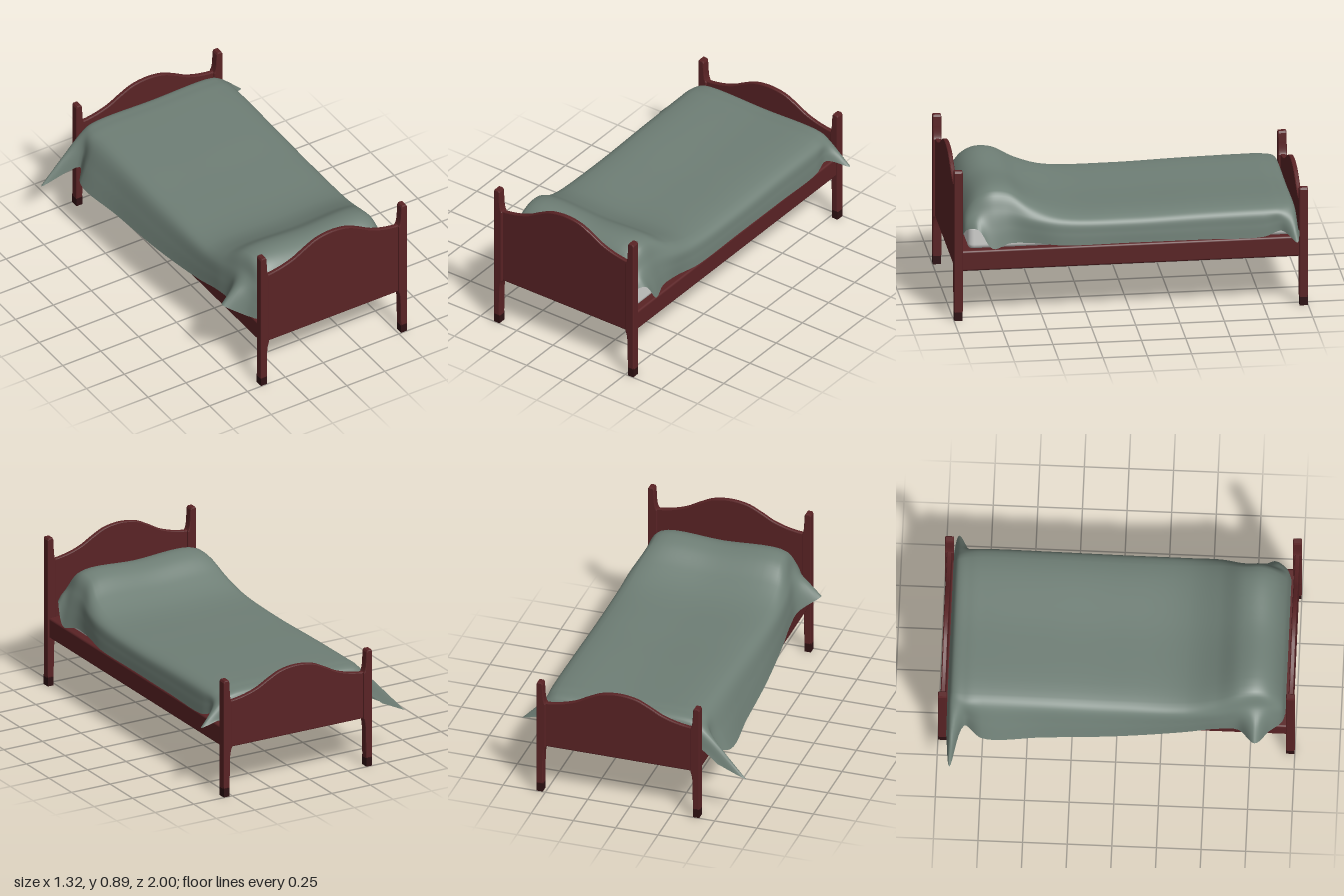
import * as THREE from 'three';
import { RoundedBoxGeometry } from 'three/addons/geometries/RoundedBoxGeometry.js';

const CX = 0.0725; // centre line of the bed frame
const HALF = 0.4825; // half the frame width

function material(name, color, side = THREE.FrontSide) {
  const m = new THREE.MeshStandardMaterial({ color, side });
  m.name = name;
  return m;
}

function add(parent, name, geometry, mat, x = 0, y = 0, z = 0) {
  const mesh = new THREE.Mesh(geometry, mat);
  mesh.name = name;
  mesh.position.set(x, y, z);
  parent.add(mesh);
  return mesh;
}

// Extrude a shape, centred on z, with softened edges
function slab(shape, thickness, bevel) {
  const depth = thickness - 2 * bevel;
  const g = new THREE.ExtrudeGeometry(shape, {
    depth, bevelEnabled: true, bevelSize: bevel, bevelThickness: bevel,
    bevelOffset: -bevel, bevelSegments: 2, curveSegments: 40,
  });
  return g.translate(0, 0, -depth / 2);
}

// Post outline: straight outside, inner side flared where it meets the panel
function postShape(side, low, top) {
  const x = (w) => side * (HALF - w);
  const s = new THREE.Shape();
  s.moveTo(x(0), 0.05);
  s.lineTo(x(0), top - 0.012);
  s.lineTo(x(0.006), top);
  s.lineTo(x(0.032), top);
  s.lineTo(x(0.038), top - 0.012);
  s.lineTo(x(0.041), low + 0.07);
  s.quadraticCurveTo(x(0.043), low + 0.01, x(0.055), low - 0.004);
  s.lineTo(x(0.055), 0.29);
  s.quadraticCurveTo(x(0.044), 0.265, x(0.043), 0.22);
  s.lineTo(x(0.04), 0.05);
  s.closePath();
  return s;
}

// Panel with a bell-shaped top edge
function panelShape(low, top) {
  const w = HALF - 0.03;
  const profile = [[1, 0], [0.94, 0], [0.86, 0.03], [0.72, 0.13], [0.56, 0.32],
    [0.4, 0.62], [0.22, 0.9], [0, 1]];
  const right = profile.map(([x, k]) => new THREE.Vector2(x * w, low + k * (top - low)));
  const left = right.slice(0, -1).reverse().map((p) => new THREE.Vector2(-p.x, p.y));
  const s = new THREE.Shape();
  s.moveTo(-w, 0.29);
  s.lineTo(w, 0.29);
  s.lineTo(w, low);
  s.splineThru([...right.slice(1), ...left]);
  s.closePath();
  return s;
}

function bedEnd(name, z, low, top, wood, darkWood) {
  const end = new THREE.Group();
  end.name = name;
  end.position.set(CX, 0, z);
  add(end, 'panel', slab(panelShape(low, top), 0.026, 0.006), wood);
  for (const side of [-1, 1]) {
    add(end, 'post', slab(postShape(side, low, top), 0.05, 0.006), wood);
    add(end, 'postFoot', new THREE.BoxGeometry(0.038, 0.06, 0.046), darkWood,
      side * (HALF - 0.02), 0.03, 0);
  }
  return end;
}

// Draped cover: cross-sections from foot to head, smoothed in both directions
function coverGeometry() {
  // z, top height, left shoulder x, left hem x/y, right shoulder x, right hem x/y
  const sections = [
    [-0.95, 0.47, -0.38, -0.5, 0.34, 0.51, 0.56, 0.45],
    [-0.925, 0.572, -0.39, -0.66, 0.26, 0.52, 0.66, 0.415],
    [-0.85, 0.588, -0.4, -0.45, 0.36, 0.53, 0.55, 0.45],
    [-0.75, 0.59, -0.4, -0.51, 0.33, 0.535, 0.555, 0.42],
    [-0.4, 0.585, -0.4, -0.49, 0.33, 0.535, 0.555, 0.42],
    [0, 0.575, -0.4, -0.47, 0.34, 0.535, 0.553, 0.42],
    [0.38, 0.585, -0.4, -0.44, 0.37, 0.53, 0.55, 0.42],
    [0.55, 0.64, -0.395, -0.425, 0.4, 0.52, 0.53, 0.435],
    [0.68, 0.712, -0.38, -0.43, 0.42, 0.49, 0.53, 0.44],
    [0.78, 0.722, -0.37, -0.53, 0.48, 0.49, 0.555, 0.42],
    [0.86, 0.685, -0.36, -0.43, 0.42, 0.48, 0.54, 0.53],
    [0.92, 0.6, -0.34, -0.38, 0.4, 0.47, 0.5, 0.52],
    [0.945, 0.5, -0.3, -0.33, 0.26, 0.45, 0.46, 0.46],
  ];
  const rows = sections.map(([z, top, ls, lx, ly, rs, rx, ry]) => {
    const edge = top - 0.035 - Math.max(0, top - 0.59) * 0.5;
    return [
      [lx, ly], [(ls + lx) / 2 - 0.006, (edge + ly) / 2], [ls, edge], [ls + 0.06, top - 0.003],
      [CX, top], [rs - 0.06, top - 0.003], [rs, edge], [(rs + rx) / 2 + 0.004, (edge + ry) / 2], [rx, ry],
    ].map(([x, y]) => new THREE.Vector3(x, y, z));
  });
  const columns = rows[0].map((_, i) => new THREE.CatmullRomCurve3(rows.map((r) => r[i])));
  const nu = 56, nv = 84;
  const g = new THREE.PlaneGeometry(1, 1, nu, nv);
  const pos = g.attributes.position;
  for (let j = 0; j <= nv; j++) {
    const across = new THREE.CatmullRomCurve3(columns.map((c) => c.getPoint(j / nv)));
    for (let i = 0; i <= nu; i++) {
      const p = across.getPoint(i / nu);
      pos.setXYZ(j * (nu + 1) + i, p.x, p.y, p.z);
    }
  }
  g.computeVertexNormals();
  return g;
}

export function createModel() {
  const wood = material('red wood', 0x5a2325);
  const darkWood = material('dark wood', 0x2e1113);
  const cloth = material('grey green cloth', 0x6f7f76, THREE.DoubleSide);
  const linen = material('white linen', 0xcfcfcd);

  const bed = new THREE.Group();
  bed.name = 'bed';

  // Frame
  bed.add(bedEnd('headboard', 0.975, 0.755, 0.89, wood, darkWood));
  bed.add(bedEnd('footboard', -0.975, 0.57, 0.7, wood, darkWood));
  add(bed, 'bedFrame', new RoundedBoxGeometry(0.945, 0.12, 1.93, 3, 0.012), wood, CX, 0.35, 0);

  // Bedding
  add(bed, 'mattress', new RoundedBoxGeometry(0.875, 0.155, 1.83, 4, 0.035), linen, CX, 0.4775, 0);
  const pillow = add(bed, 'pillow', new THREE.SphereGeometry(1, 32, 16), linen, CX, 0.59, 0.75);
  pillow.scale.set(0.3, 0.07, 0.14);
  add(bed, 'cover', coverGeometry(), cloth);

  return bed;
}
